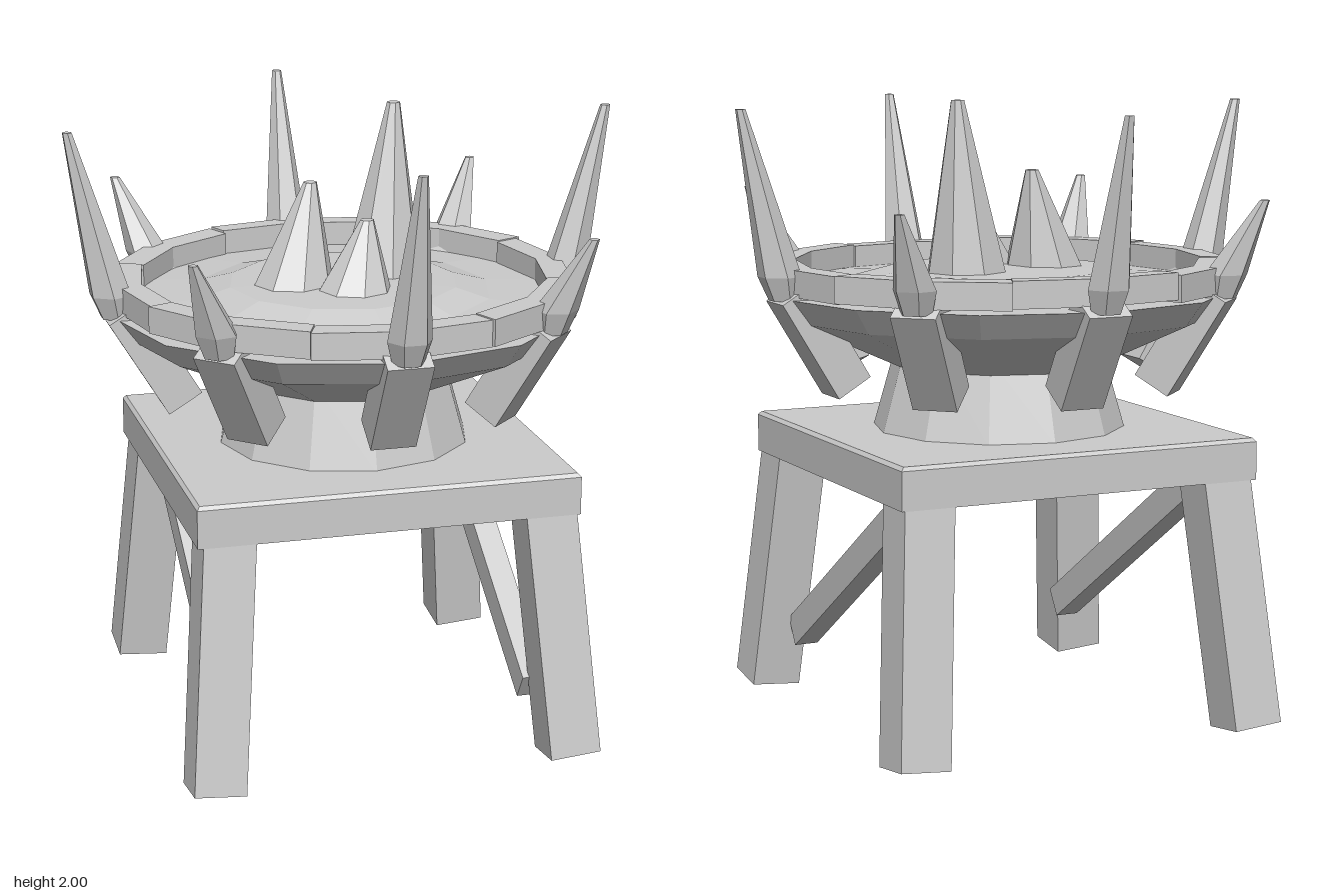
import * as THREE from 'three';

const stone = new THREE.MeshStandardMaterial({ color: 0xcccccc });
stone.name = 'pale grey';

// Faceted mesh: every face keeps its own normal
function part(name, geometry, parent) {
  const flat = geometry.index ? geometry.toNonIndexed() : geometry;
  flat.computeVertexNormals();
  const mesh = new THREE.Mesh(flat, stone);
  mesh.name = name;
  parent.add(mesh);
  return mesh;
}

function lathe(points, sides, phi = 0) {
  return new THREE.LatheGeometry(points.map(p => new THREE.Vector2(p[0], p[1])), sides, phi);
}

// Unit-height geometry (base at y = 0) sheared so its axis runs from a to b
function shear(geometry, a, b) {
  const m = new THREE.Matrix4().set(
    1, b[0] - a[0], 0, a[0],
    0, b[1] - a[1], 0, a[1],
    0, b[2] - a[2], 1, a[2],
    0, 0, 0, 1);
  return geometry.translate(0, 0.5, 0).applyMatrix4(m);
}

// Square bar between two points, with ends square to its axis
function bar(name, a, b, w, d, parent) {
  const from = new THREE.Vector3(...a), to = new THREE.Vector3(...b);
  const dir = to.clone().sub(from);
  const mesh = part(name, new THREE.BoxGeometry(w, dir.length(), d), parent);
  mesh.quaternion.setFromUnitVectors(new THREE.Vector3(0, 1, 0), dir.normalize());
  mesh.position.copy(from.add(to).multiplyScalar(0.5));
  return mesh;
}

export function createModel() {
  const model = new THREE.Group();
  model.name = 'spikedBrazierOnStool';

  // Stool: bevelled top, splayed legs and a diagonal brace on each side
  const stool = new THREE.Group();
  stool.name = 'stool';
  model.add(stool);
  const r = 0.6 * Math.SQRT2;
  const seat = part('stoolTop', lathe(
    [[0, 0.808], [r, 0.808], [r, 0.93], [r - 0.014, 0.942], [0, 0.942]], 4, Math.PI / 4), stool);
  seat.scale.x = 1.02;
  seat.position.x = -0.004;
  for (const sx of [-1, 1]) {
    for (const sz of [-1, 1]) {
      bar('leg', [sx * 0.578, 0.02, sz * 0.62], [sx * 0.51, 0.86, sz * 0.508], 0.165, 0.165, stool);
    }
    bar('brace', [sx * 0.495, 0.197, 0.497], [sx * 0.495, 0.79, -0.43], 0.08, 0.1, stool);
  }

  // Pedestal and faceted bowl
  part('pedestal', lathe([[0, 0.935], [0.41, 0.935], [0.335, 1.2], [0, 1.2]], 12), model);
  part('bowl', lathe(
    [[0, 1.145], [0.335, 1.145], [0.7, 1.31], [0.76, 1.39], [0.6, 1.39]], 12), model);

  // Filling with a low raised mound
  part('bowlFilling', lathe(
    [[0.68, 1.41], [0.48, 1.425], [0.37, 1.455], [0, 1.462]], 12), model);

  // Rim of eight bent blocks, slightly uneven
  const rim = new THREE.Group();
  rim.name = 'rim';
  model.add(rim);
  const step = Math.PI / 8;
  for (let i = 0; i < 8; i++) {
    const out = 0.735 + (i % 2 ? 0.012 : 0), inner = 0.65 + (i % 3) * 0.006;
    const shape = new THREE.Shape();
    const corners = [[out, -1], [out, 0], [out, 1], [inner, 1], [inner, 0], [inner, -1]];
    shape.setFromPoints(corners.map(([q, k]) =>
      new THREE.Vector2(q * Math.cos(k * step), q * Math.sin(k * step))));
    const block = new THREE.ExtrudeGeometry(shape, { depth: 0.085, bevelEnabled: false });
    block.rotateX(-Math.PI / 2);
    const mesh = part('rimBlock', block, rim);
    mesh.rotation.y = i * Math.PI / 4;
    mesh.position.y = 1.397 + (i % 3) * 0.004;
  }

  // Eight struts with horns: tall on the axes, short on the diagonals
  for (let i = 0; i < 8; i++) {
    const tall = i % 2 === 0;
    const horn = new THREE.Group();
    horn.name = tall ? 'tallHorn' : 'shortHorn';
    horn.rotation.y = i * Math.PI / 4;
    model.add(horn);
    bar('strut', [0.535, 1.105, 0], [0.72, 1.41, 0], 0.125, 0.145, horn);
    const top = tall ? 1.98 : 1.695;
    const bend = [0.755, 1.46, 0];
    part('hornBase', shear(new THREE.CylinderGeometry(0.07, 0.05, 1, 6), [0.74, 1.385, 0], bend), horn);
    part('hornTip', shear(new THREE.CylinderGeometry(0.016, 0.07, 1, 6), bend, [0.877, top, 0]), horn);
  }

  // Three leaning spikes in the middle: base, tip, radius
  const spikes = [
    [[0.15, 1.44, -0.08], [0.2, 2, -0.12], 0.135],
    [[-0.165, 1.44, 0], [-0.095, 1.77, -0.05], 0.135],
    [[0, 1.44, 0.13], [0.06, 1.665, 0.07], 0.125],
  ];
  for (const [base, tip, radius] of spikes) {
    part('centreSpike', shear(new THREE.CylinderGeometry(0.022, radius, 1, 8), base, tip), model);
  }
  return model;
}
